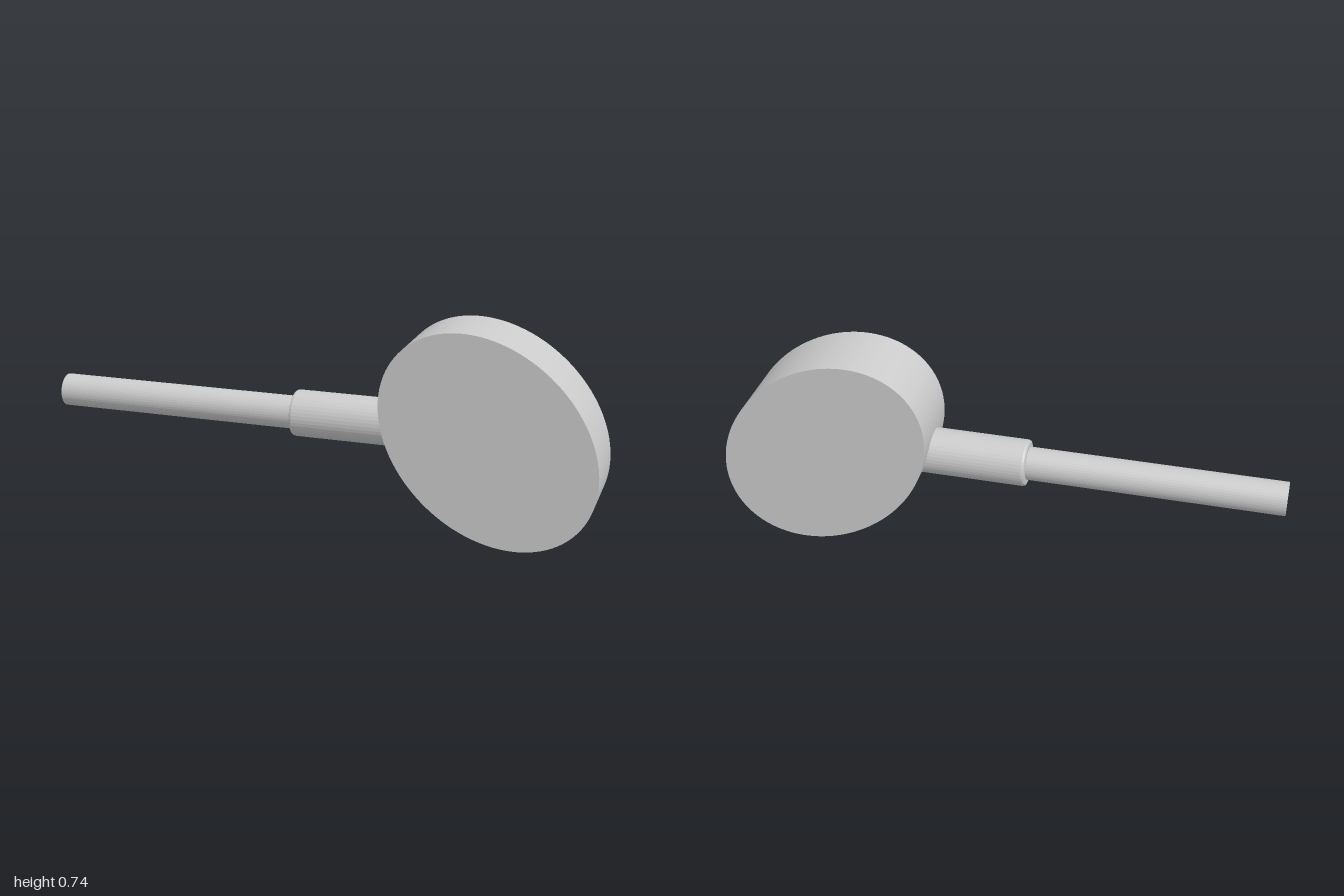
import * as THREE from 'three';

const AXIS_Y = 0.371;

export function createModel() {
  const group = new THREE.Group();
  const material = new THREE.MeshStandardMaterial({ color: 0xcccccc, flatShading: true });

  const add = (name, geometry) => {
    const mesh = new THREE.Mesh(geometry, material);
    mesh.name = name;
    group.add(mesh);
    return mesh;
  };

  // Turned part lying along x; profile is [x, radius] pairs
  const turned = (name, profile) => {
    const points = profile.map(([x, r]) => new THREE.Vector2(r, x));
    const geometry = new THREE.LatheGeometry(points, 40);
    geometry.rotateZ(-Math.PI / 2);
    add(name, geometry).position.y = AXIS_Y;
  };

  // Head: thick tilted elliptical disc
  const depth = 0.262;
  const outline = new THREE.Shape();
  outline.absellipse(0, 0, 0.421, 0.321, 0, Math.PI * 2, false, -0.752);
  const disc = new THREE.ExtrudeGeometry(outline, { depth, bevelEnabled: false, curveSegments: 64 });
  disc.translate(0, 0, -depth / 2);
  add('head', disc).position.set(0.6225, AXIS_Y, 0);

  // Hollow handle tube, open at its free end
  turned('handle', [[0.3, 0], [0.3, 0.037], [-1, 0.037], [-1, 0.059], [0.3, 0.059]]);

  // Sleeve joining handle and head, with a softened end
  turned('sleeve', [
    [-0.097, 0.059], [-0.097, 0.073], [-0.094, 0.08], [-0.087, 0.083], [0.33, 0.083],
  ]);

  return group;
}
